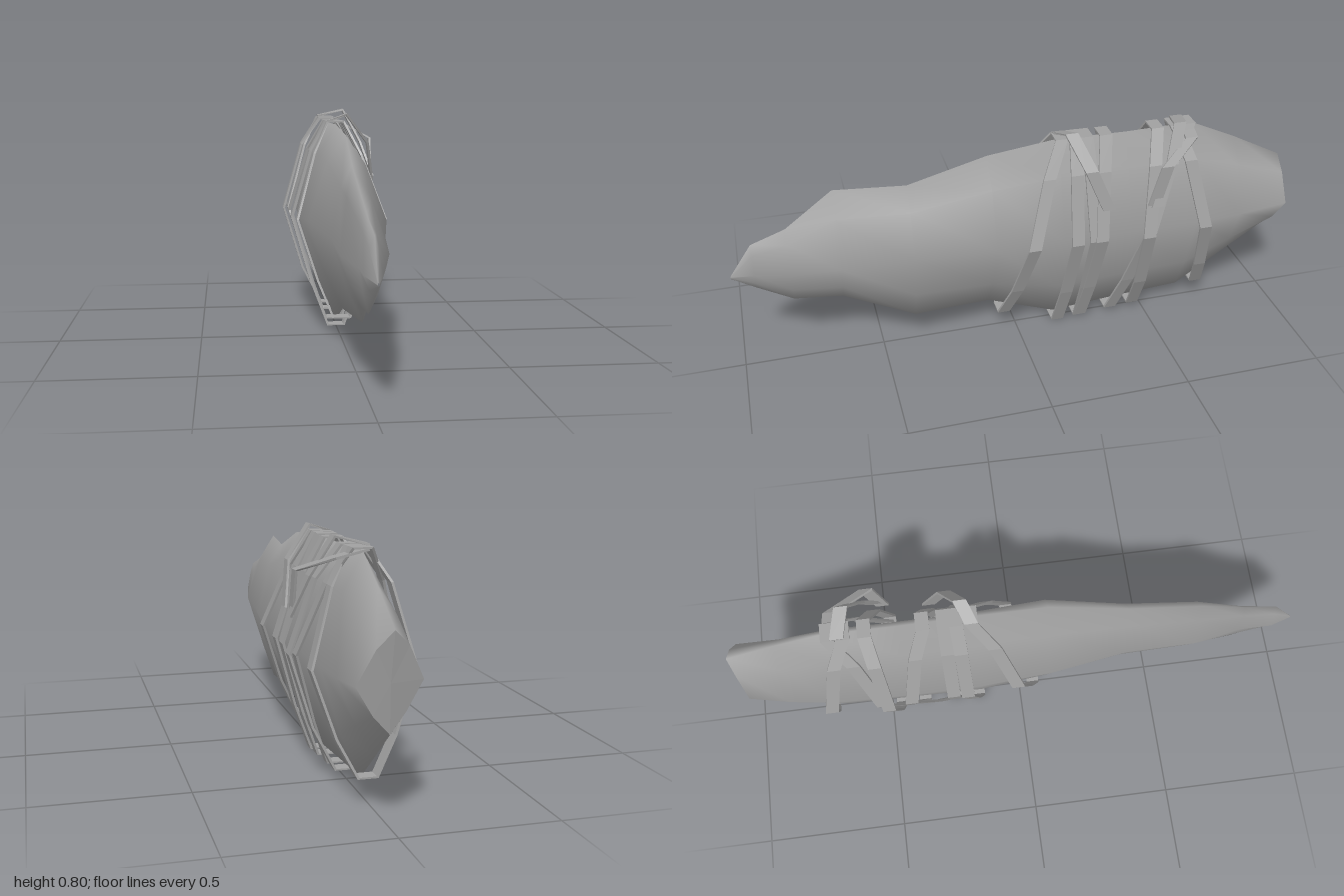
import * as THREE from 'three';

const grey = new THREE.MeshStandardMaterial({ color: 0xa0a0a0 });
grey.name = 'stone grey';

// Blade stations: z, top y, bottom y, widest y, right x, left x, top x, bottom x
const STATIONS = [
  [-1.00, 0.61, 0.31, 0.46, 0.13, -0.08, 0.02, 0.02],
  [-0.82, 0.70, 0.20, 0.44, 0.13, -0.105, 0.01, 0.01],
  [-0.65, 0.775, 0.075, 0.43, 0.13, -0.125, 0, 0],
  [-0.40, 0.77, 0.06, 0.43, 0.13, -0.13, 0, 0],
  [-0.15, 0.775, 0.04, 0.43, 0.13, -0.13, 0, 0],
  [0.10, 0.75, 0.135, 0.45, 0.155, -0.12, 0.01, 0],
  [0.38, 0.67, 0.15, 0.43, 0.11, -0.07, 0.0, 0.035],
  [0.63, 0.675, 0.255, 0.42, 0.085, -0.065, -0.025, 0],
  [0.80, 0.56, 0.275, 0.41, 0.05, -0.03, -0.005, 0],
  [0.92, 0.52, 0.345, 0.41, 0.025, -0.03, 0, 0],
  [1.00, 0.405, 0.395, 0.40, 0.003, -0.003, 0, 0],
];

function station(z) {
  let k = 0;
  while (k < STATIONS.length - 2 && STATIONS[k + 1][0] < z) k++;
  const a = STATIONS[k], b = STATIONS[k + 1];
  const t = (z - a[0]) / (b[0] - a[0]);
  return a.map((v, i) => v + (b[i] - v) * t);
}

// Eight-sided lens section, clockwise from the top
function section([, top, bot, mid, r, l, tx, bx]) {
  const mix = (x, side, w) => x + (side - x) * w;
  return [
    [tx, top],
    [mix(tx, r, 0.48), mid + (top - mid) * 0.66],
    [r, mid],
    [mix(bx, r, 0.5), mid + (bot - mid) * 0.6],
    [bx, bot],
    [mix(bx, l, 0.5), mid + (bot - mid) * 0.6],
    [l, mid],
    [mix(tx, l, 0.5), mid + (top - mid) * 0.68],
  ];
}

// Skin a row of equal rings
function loft(rings, closed) {
  const n = rings[0].length, index = [];
  const rows = closed ? rings.length : rings.length - 1;
  for (let j = 0; j < rows; j++) {
    const k = (j + 1) % rings.length;
    for (let i = 0; i < n; i++) {
      const m = (i + 1) % n;
      const a = j * n + i, b = j * n + m, c = k * n + i, d = k * n + m;
      index.push(a, c, b, b, c, d);
    }
  }
  const geo = new THREE.BufferGeometry();
  geo.setAttribute('position', new THREE.Float32BufferAttribute(rings.flat(2), 3));
  geo.setIndex(index);
  return geo;
}

function addMesh(group, name, geo) {
  geo.computeVertexNormals();
  const mesh = new THREE.Mesh(geo, grey);
  mesh.name = name;
  group.add(mesh);
}

// Flat-shaded strap with a rectangular section along a path
function strap(path, closed, width = 0.045, thick = 0.008) {
  const n = path.length;
  const rings = path.map((p, j) => {
    const prev = path[closed ? (j + n - 1) % n : Math.max(j - 1, 0)];
    const next = path[closed ? (j + 1) % n : Math.min(j + 1, n - 1)];
    const tx = next[0] - prev[0], ty = next[1] - prev[1], len = Math.hypot(tx, ty) || 1;
    const ox = -ty / len * thick / 2, oy = tx / len * thick / 2, h = width / 2;
    const [x, y, z] = p;
    return [
      [x + ox, y + oy, z + h], [x + ox, y + oy, z - h],
      [x - ox, y - oy, z - h], [x - ox, y - oy, z + h],
    ];
  });
  if (!closed) {
    rings.unshift(path[0] && rings[0].map(() => path[0]));
    rings.push(rings[0].map(() => path[n - 1]));
  }
  return loft(rings, closed).toNonIndexed();
}

// Closed wrap around the blade; z given at the top, right, bottom and left
function wrapPath(top, right, bottom, left, gap) {
  const avg = (a, b, t) => a + (b - a) * t;
  const spots = [
    // section corner, z, x shift, y shift
    [0, top, 0.03, 0.3], [1, avg(top, right, 0.45), 1, 0.5], [2, right, 1.2, 0],
    [3, avg(right, bottom, 0.55), 1, -0.5], [4, bottom, 0.03, -1],
    [4, bottom, -0.03, -1], [5, avg(bottom, left, 0.45), -1, -0.5],
    [6, left, -1.2, 0], [7, avg(left, top, 0.5), -1, 0.5], [0, top, -0.03, 0.3],
  ];
  return spots.map(([corner, z, dx, dy]) => {
    const [x, y] = section(station(z))[corner];
    const shift = Math.abs(dx) < 0.1 ? dx : dx * gap;
    const lift = corner === 0 ? 0.01 : corner === 4 ? -0.02 : dy * gap;
    return [x + shift, y + lift, z];
  });
}

export function createModel() {
  const group = new THREE.Group();
  group.name = 'wrappedBlade';

  // Blade with a slightly slanted blunt back
  const rings = STATIONS.map((s, j) => section(s).map(([x, y], i) => {
    const slant = j === 0 ? [0, 0, 0, 0.015, 0.03, 0.04, 0.04, 0.02][i] : 0;
    return [x, y, s[0] + slant];
  }));
  addMesh(group, 'blade', loft(rings, false));

  // Back cap
  const mid = [0.025, 0.46, -0.985];
  const cap = rings[0].flatMap((p, i) => [mid, p, rings[0][(i + 1) % 8]]);
  const capGeo = new THREE.BufferGeometry();
  capGeo.setAttribute('position', new THREE.Float32BufferAttribute(cap.flat(), 3));
  addMesh(group, 'bladeBack', capGeo);

  // Straps wound around the rear half
  const wraps = [
    [-0.16, -0.03, 0.05, -0.02, 0.022],
    [-0.21, -0.19, -0.16, -0.20, 0.026],
    [-0.25, -0.26, -0.245, -0.25, 0.02],
    [-0.32, -0.28, -0.25, -0.40, 0.024],
    [-0.51, -0.45, -0.46, -0.48, 0.04],
    [-0.63, -0.46, -0.37, -0.50, 0.024],
    [-0.58, -0.67, -0.715, -0.68, 0.03],
  ];
  wraps.forEach((w, i) => addMesh(group, 'strap' + (i + 1), strap(wrapPath(...w), true)));

  // Loose strap ends
  const ends = [
    [[-0.03, 0.785, -0.16], [0.045, 0.81, -0.19], [0.13, 0.7, -0.24], [0.155, 0.555, -0.30]],
    [[-0.03, 0.79, -0.60], [0.07, 0.815, -0.575], [0.135, 0.69, -0.53], [0.18, 0.555, -0.47]],
    [[-0.02, 0.78, -0.63], [0.08, 0.755, -0.62], [0.17, 0.705, -0.50], [0.17, 0.56, -0.46]],
  ];
  ends.forEach((e, i) => addMesh(group, 'strapEnd' + (i + 1), strap(e, false)));

  return group;
}
